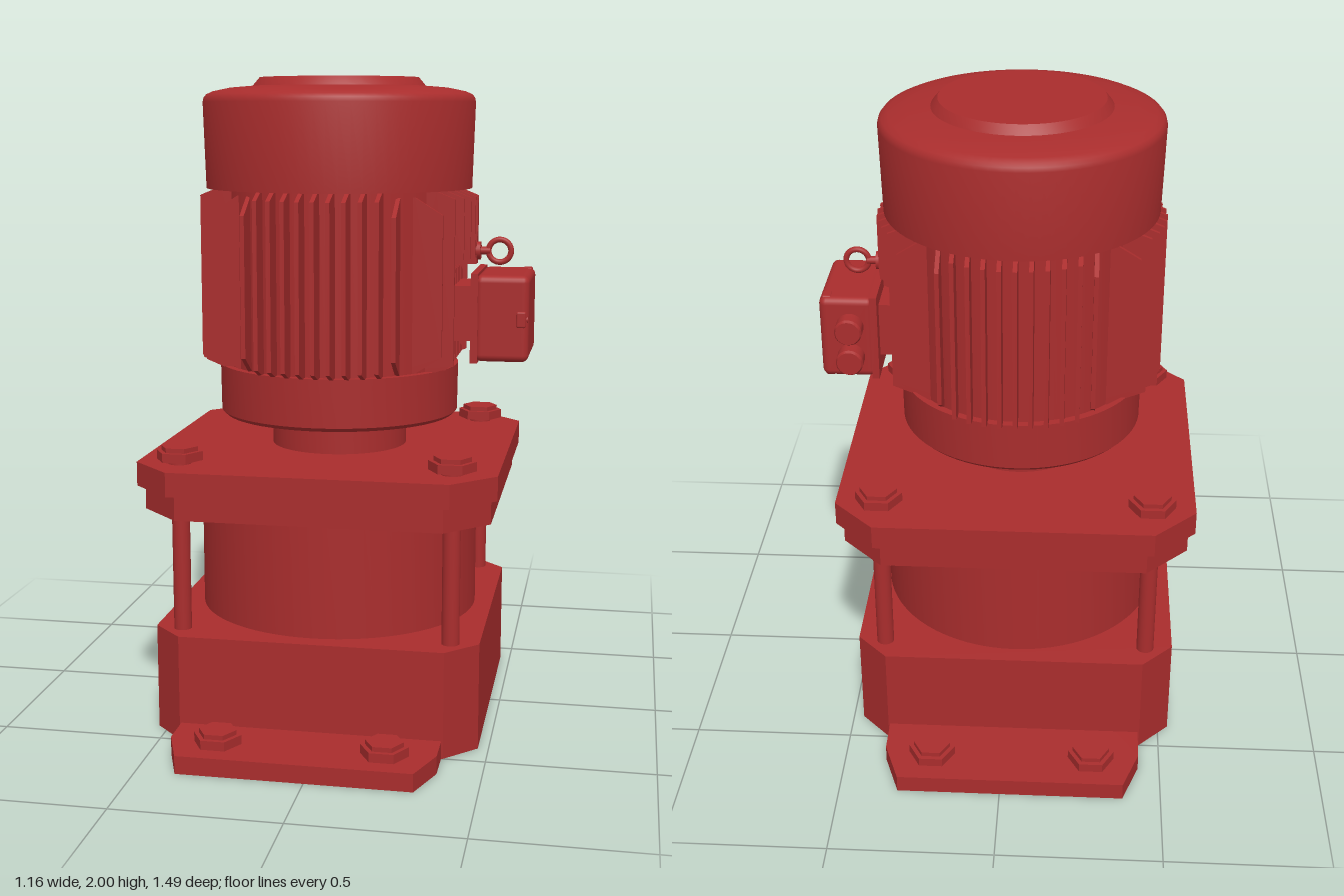
import * as THREE from 'three';
import { toCreasedNormals } from 'three/addons/utils/BufferGeometryUtils.js';
import { RoundedBoxGeometry } from 'three/addons/geometries/RoundedBoxGeometry.js';

const paint = new THREE.MeshStandardMaterial({ color: 0xa92d2d });
const AXIS_X = -0.032; // the pump axis sits slightly off centre

function add(parent, name, geometry, x = 0, y = 0, z = 0) {
  const mesh = new THREE.Mesh(geometry, paint);
  mesh.name = name;
  mesh.position.set(x, y, z);
  parent.add(mesh);
  return mesh;
}

// Turned part from [radius, height] points, bottom to top
function turned(points, segments = 72) {
  const profile = points.map(([r, y]) => new THREE.Vector2(r, y));
  return toCreasedNormals(new THREE.LatheGeometry(profile, segments), 0.5);
}

// Upright prism from an outline in x and z
function prism(outline, y0, y1) {
  const shape = new THREE.Shape(outline.map(([x, z]) => new THREE.Vector2(x, -z)));
  const g = new THREE.ExtrudeGeometry(shape, { depth: y1 - y0, bevelEnabled: false });
  return g.rotateX(-Math.PI / 2).translate(0, y0, 0);
}

// Square with cut corners
function cutSquare(h, c) {
  const k = h - c;
  return [[h, -k], [h, k], [k, h], [-k, h], [-h, k], [-h, -k], [-k, -h], [k, -h]];
}

// Upright fin reaching out along x, its outer corners cut by cx and cy
function finPlate(reach, y0, y1, cx, cy) {
  const t = 0.013;
  const pts = [[0.2, y0], [reach - cx, y0], [reach, y0 + cy], [reach, y1 - cy], [reach - cx, y1], [0.2, y1]];
  const shape = new THREE.Shape(pts.map(([x, y]) => new THREE.Vector2(x, y)));
  return new THREE.ExtrudeGeometry(shape, { depth: t, bevelEnabled: false }).translate(0, 0, -t / 2);
}

// Hexagonal bolt head on a short collar, points along x
function hexBolt(parent, name, x, y, z) {
  const bolt = new THREE.Group();
  bolt.name = name;
  bolt.position.set(x, y, z);
  const hex = (r, y0, y1) =>
    toCreasedNormals(new THREE.CylinderGeometry(r, r, y1 - y0, 6).rotateY(Math.PI / 6), 0.3).translate(0, (y0 + y1) / 2, 0);
  add(bolt, 'boltCollar', new THREE.CylinderGeometry(0.035, 0.035, 0.015, 20), 0, 0.0075, 0);
  add(bolt, 'boltFlange', hex(0.072, 0.012, 0.04));
  add(bolt, 'boltHead', hex(0.057, 0.04, 0.054));
  parent.add(bolt);
}

function buildBase(pump) {
  add(pump, 'baseBlock', prism(cutSquare(0.5, 0.095), 0, 0.33));
  add(pump, 'footPlate', prism([[0.4, -0.61], [0.4, 0.61], [0.35, 0.745], [-0.35, 0.745],
    [-0.4, 0.61], [-0.4, -0.61], [-0.35, -0.745], [0.35, -0.745]], 0, 0.055));
  add(pump, 'pumpBarrel', turned([[0.443, 0.32], [0.443, 0.71]]));
  add(pump, 'lowerFlange', prism(cutSquare(0.528, 0.127), 0.7, 0.776));
  add(pump, 'upperFlange', prism(cutSquare(0.548, 0.127), 0.776, 0.85));
  for (const sx of [-1, 1]) for (const sz of [-1, 1]) {
    hexBolt(pump, 'footBolt', sx * 0.25, 0.045, sz * 0.63);
    hexBolt(pump, 'flangeBolt', sx * 0.414, 0.85, sz * 0.414);
    add(pump, 'tieRod', new THREE.CylinderGeometry(0.027, 0.027, 0.4, 20), sx * 0.414, 0.515, sz * 0.414);
  }
}

function buildMotor(pump) {
  add(pump, 'motorNeck', turned([[0.214, 0.84], [0.214, 0.96]]));
  add(pump, 'lowerBell', turned([[0, 0.952], [0.365, 0.952], [0.377, 0.964], [0.379, 1.113], [0, 1.113]]));
  add(pump, 'motorCore', turned([[0.355, 1.11], [0.355, 1.67]]));
  add(pump, 'fanCover', turned([[0, 1.662], [0.416, 1.662], [0.424, 1.925], [0.421, 1.938], [0.413, 1.948],
    [0.393, 1.957], [0.34, 1.968], [0.268, 1.974], [0.265, 1.979], [0.247, 2], [0, 2]]));

  // Parallel cooling fins in four banks, leaving a notch at each diagonal
  for (let side = 0; side < 4; side++) {
    const bank = new THREE.Group();
    bank.name = 'finBank';
    bank.rotation.y = side * Math.PI / 2;
    for (let i = -5; i <= 5; i++) {
      const z = i * 0.0455;
      const reach = Math.sqrt(0.438 ** 2 - z * z) - 0.35 * z * z;
      if (Math.abs(i) === 5) {
        add(bank, 'outerFin', finPlate(reach, 1.112, 1.645, 0.085, 0.053), 0, 0, z);
      } else if (side === 0 && Math.abs(i) < 4) {
        // Fins behind the terminal box are cut short
        add(bank, 'upperFin', finPlate(reach, 1.43, 1.66, 0.055, 0.022), 0, 0, z);
        add(bank, 'lowerFin', finPlate(0.378, 1.112, 1.44, 0.02, 0.022), 0, 0, z);
      } else {
        add(bank, 'fin', finPlate(reach, 1.112, 1.66, 0.055, 0.022), 0, 0, z);
      }
    }
    pump.add(bank);
  }
}

function buildTerminalBox(model) {
  const box = new THREE.Group();
  box.name = 'terminalBox';
  add(box, 'boxNeck', new THREE.BoxGeometry(0.12, 0.17, 0.22), 0.36, 1.285, 0);
  add(box, 'boxBackPlate', new THREE.BoxGeometry(0.022, 0.275, 0.305), 0.412, 1.275, 0);
  add(box, 'boxLid', new RoundedBoxGeometry(0.165, 0.265, 0.306, 3, 0.022), 0.4955, 1.275, 0);
  for (const [y, z] of [[1.385, -0.118], [1.165, -0.118], [1.275, 0.137]]) {
    add(box, 'lidLug', new RoundedBoxGeometry(0.03, 0.05, 0.04, 2, 0.006), 0.555, y, z);
    add(box, 'lidScrew', new THREE.CylinderGeometry(0.011, 0.011, 0.012, 16).rotateZ(Math.PI / 2), 0.57, y, z);
  }
  // Cable glands on the back face
  for (const y of [1.22, 1.322]) {
    const gland = turned([[0.033, 0], [0.033, 0.015], [0.042, 0.015], [0.042, 0.06], [0.037, 0.068], [0, 0.068]], 28);
    add(box, 'cableGland', gland.rotateX(-Math.PI / 2), 0.483, y, -0.148);
  }
  model.add(box);

  // Lifting eye above the box
  const eye = new THREE.Group();
  eye.name = 'liftingEye';
  add(eye, 'eyeBoss', new THREE.BoxGeometry(0.07, 0.1, 0.05), 0.37, 1.48, 0);
  add(eye, 'eyeCollar', new THREE.CylinderGeometry(0.028, 0.028, 0.014, 20).rotateZ(Math.PI / 2), 0.409, 1.47, 0);
  add(eye, 'eyeShank', new THREE.CylinderGeometry(0.012, 0.012, 0.05, 16).rotateZ(Math.PI / 2), 0.42, 1.47, 0);
  add(eye, 'eyeRing', new THREE.TorusGeometry(0.035, 0.009, 12, 36), 0.475, 1.47, 0);
  model.add(eye);
}

export function createModel() {
  const model = new THREE.Group();
  model.name = 'verticalPump';
  const pump = new THREE.Group();
  pump.name = 'pumpAndMotor';
  pump.position.x = AXIS_X;
  model.add(pump);
  buildBase(pump);
  buildMotor(pump);
  buildTerminalBox(model);
  return model;
}
